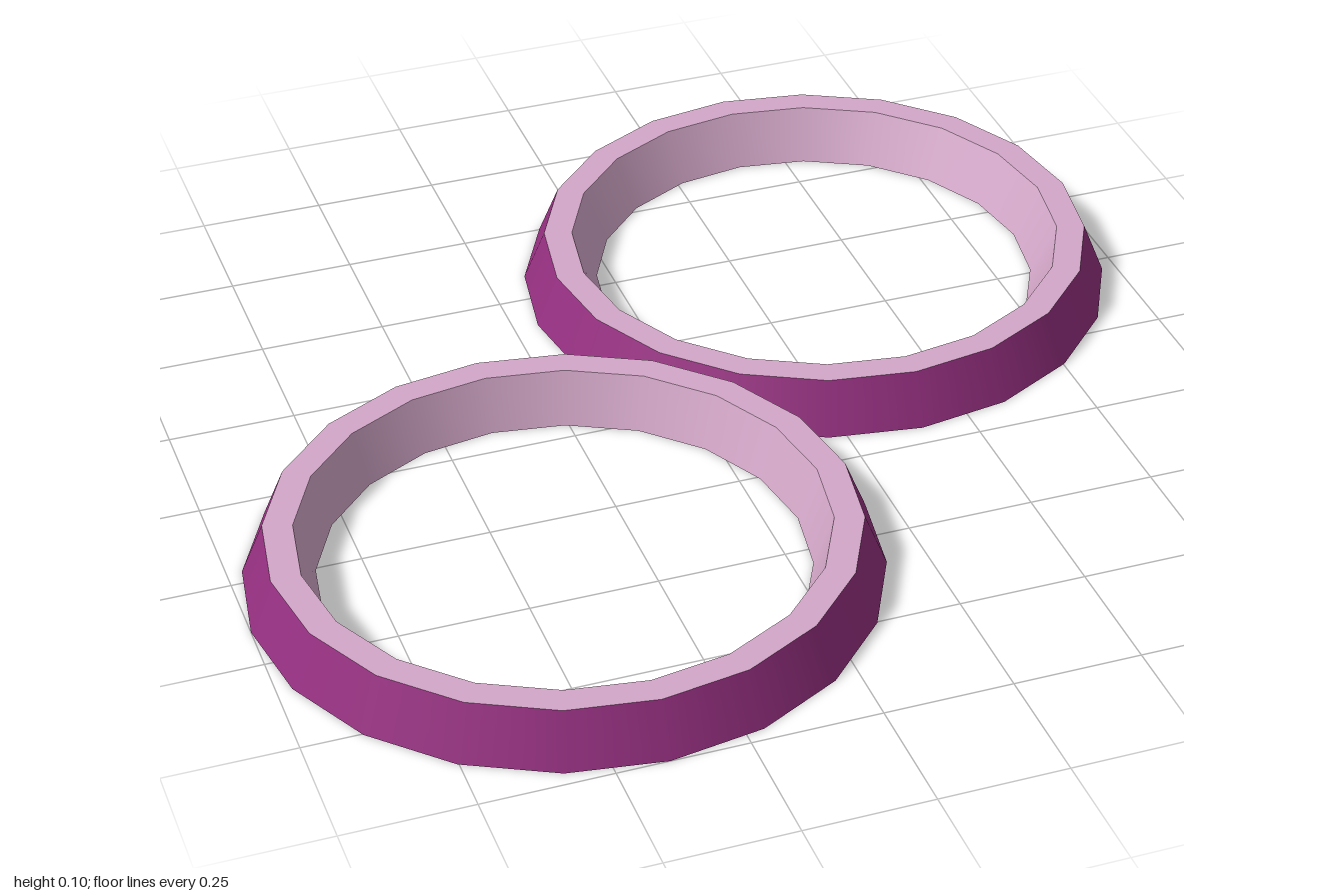
import * as THREE from 'three';

const SIDES = 20;
const HEIGHT = 0.105;

const magenta = new THREE.MeshStandardMaterial({ color: 0x942f7f });
magenta.name = 'magenta';
const palePink = new THREE.MeshStandardMaterial({ color: 0xd3a7c8 });
palePink.name = 'pale pink';

// One band of the ring, smooth around the ring and sharp at its edges
function band(name, from, to, material) {
  const points = [new THREE.Vector2(...from), new THREE.Vector2(...to)];
  const mesh = new THREE.Mesh(new THREE.LatheGeometry(points, SIDES), material);
  mesh.name = name;
  return mesh;
}

// A tapered ring standing on y = 0
function ring(name, x, z, innerBase) {
  const group = new THREE.Group();
  group.name = name;
  const outerBottom = [0.6, 0], outerTop = [0.557, HEIGHT];
  const innerTop = [0.5, HEIGHT], innerBottom = [innerBase, 0];
  group.add(
    band('outerWall', outerBottom, outerTop, magenta),
    band('topRim', outerTop, innerTop, palePink),
    band('innerWall', innerTop, innerBottom, palePink),
    band('underside', innerBottom, outerBottom, palePink),
  );
  group.position.set(x, 0, z);
  return group;
}

export function createModel() {
  const model = new THREE.Group();
  model.name = 'linkedRings';
  model.add(ring('frontRing', -0.4, 0.4, 0.463), ring('backRing', 0.4, -0.4, 0.45));
  return model;
}
